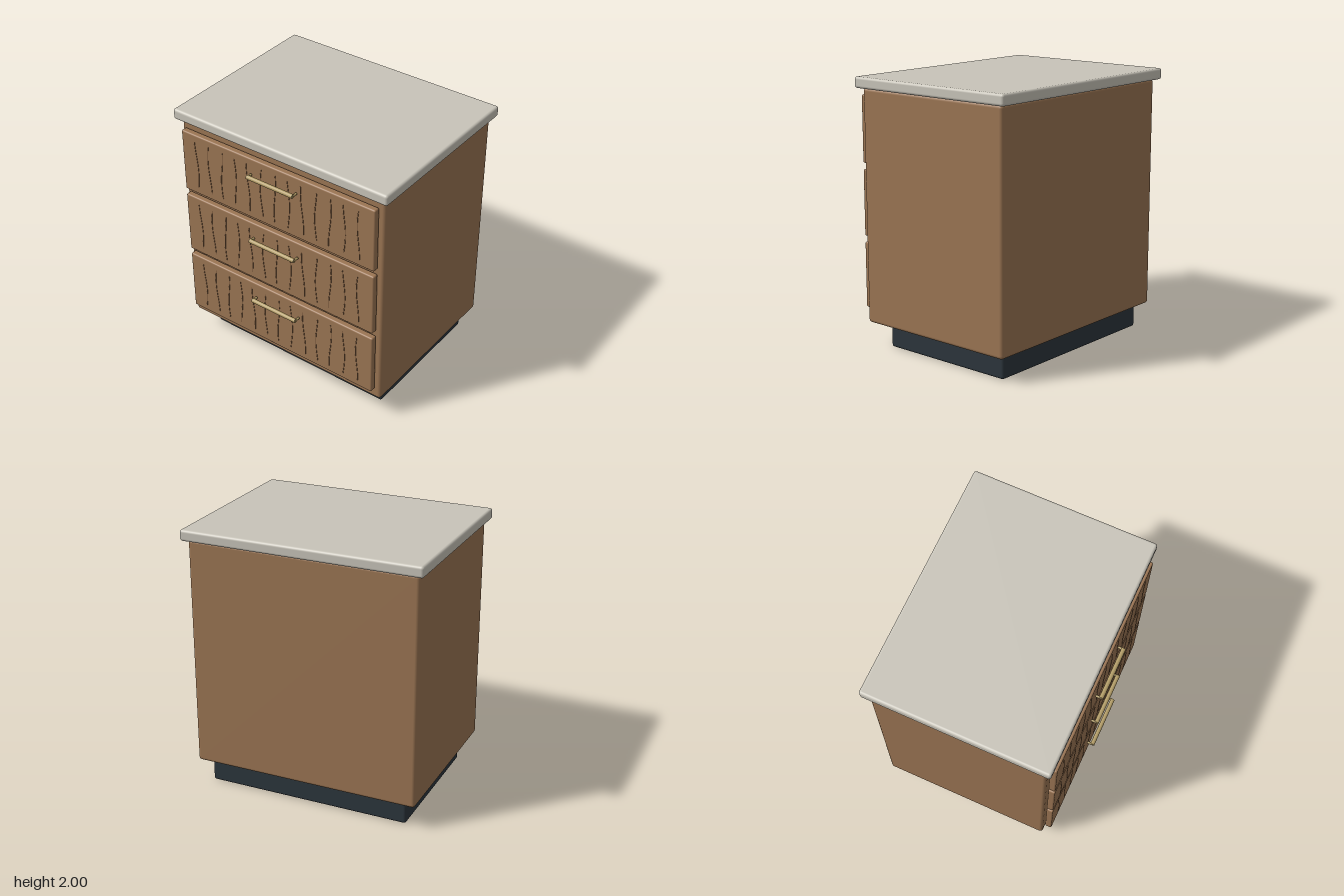
import * as THREE from 'three';
import { RoundedBoxGeometry } from 'three/addons/geometries/RoundedBoxGeometry.js';

const paint = (color) => new THREE.MeshStandardMaterial({ color });

export function createModel() {
  const wood = paint(0x9b7553);
  const grainWood = paint(0x7d5b3e);
  const stone = paint(0xc8c4b9);
  const dark = paint(0x2c353c);
  const brass = paint(0xb09a64);

  const add = (parent, name, geometry, material, x = 0, y = 0, z = 0) => {
    const mesh = new THREE.Mesh(geometry, material);
    mesh.name = name;
    mesh.position.set(x, y, z);
    parent.add(mesh);
    return mesh;
  };

  // Rounded box, centred on x, given by its half width and y and z ranges
  const block = (parent, name, material, halfX, y0, y1, z0, z1, radius) =>
    add(parent, name, new RoundedBoxGeometry(halfX * 2, y1 - y0, z1 - z0, 4, radius),
      material, 0, (y0 + y1) / 2, (z0 + z1) / 2);

  const cabinet = new THREE.Group();
  cabinet.name = 'drawerCabinet';

  block(cabinet, 'plinth', dark, 0.782, 0.005, 0.19, -0.625, 0.46, 0.02);
  block(cabinet, 'carcass', wood, 0.87, 0.18, 1.92, -0.69, 0.61, 0.025);
  block(cabinet, 'countertop', stone, 0.91, 1.917, 2, -0.735, 0.655, 0.02);
  cabinet.getObjectByName('plinth').position.y -= 0.005;

  // Shared handle parts
  const barGeometry = new THREE.CylinderGeometry(0.016, 0.016, 0.395, 20).rotateZ(Math.PI / 2);
  const postGeometry = new THREE.CylinderGeometry(0.009, 0.009, 0.042, 16).rotateX(Math.PI / 2);

  // Wavy raised grain lines, reused on each drawer
  const grainGeometries = [];
  for (let i = 0; i < 13; i++) {
    const points = [];
    for (let j = 0; j <= 6; j++) {
      const t = j / 6;
      points.push(new THREE.Vector3(
        (i - 6) * 0.117 + 0.011 * Math.sin(i * 1.7 + t * 4.5), (t - 0.5) * 0.39, 0));
    }
    grainGeometries.push(
      new THREE.TubeGeometry(new THREE.CatmullRomCurve3(points), 18, 0.0035, 6));
  }

  // Three identical drawers
  for (let d = 0; d < 3; d++) {
    const drawer = new THREE.Group();
    drawer.name = `drawer${d + 1}`;
    drawer.position.y = 0.526 + d * 0.5435;
    cabinet.add(drawer);

    block(drawer, 'drawerFront', wood, 0.83, -0.249, 0.249, 0.617, 0.668, 0.012);
    for (const geometry of grainGeometries) {
      add(drawer, 'grainLine', geometry, grainWood, 0, 0, 0.6675);
    }

    const handle = new THREE.Group();
    handle.name = 'handle';
    handle.position.y = 0.131;
    drawer.add(handle);
    add(handle, 'handleBar', barGeometry, brass, 0, 0, 0.719);
    for (const side of [-1, 1]) {
      add(handle, 'handlePost', postGeometry, brass, side * 0.194, 0, 0.699);
    }
  }

  return cabinet;
}
